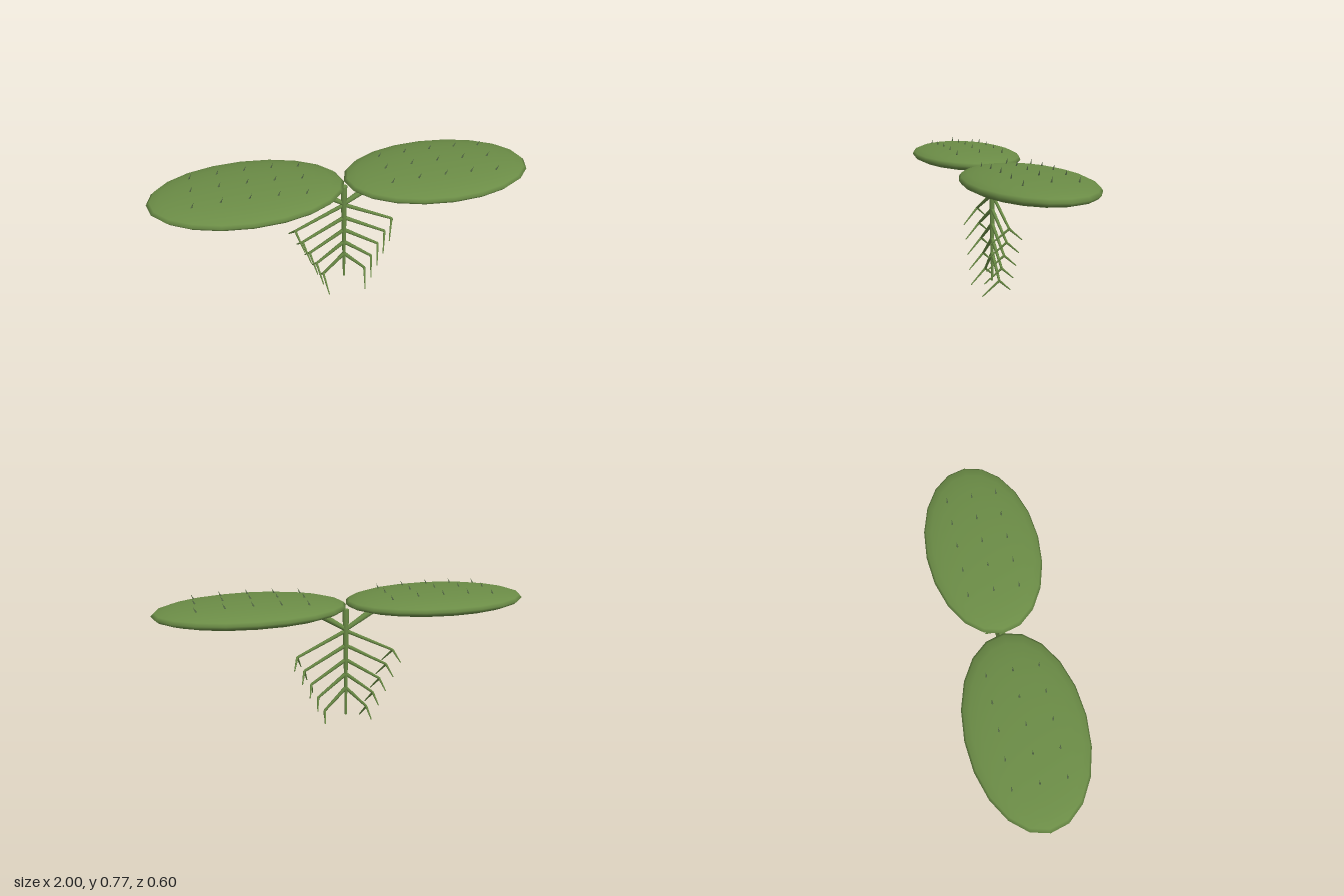
import * as THREE from 'three';

export function createModel() {
  const model = new THREE.Group();
  const green = new THREE.MeshStandardMaterial({ color: 0x6b8c46 });
  green.name = 'leaf green';
  const dark = new THREE.MeshStandardMaterial({ color: 0x566b48 });
  dark.name = 'bristle green';
  const UP = new THREE.Vector3(0, 1, 0);

  // Tapered round limb from point a to point b
  function limb(name, a, b, rA, rB, sides = 8, material = green) {
    const from = new THREE.Vector3(...a);
    const dir = new THREE.Vector3(...b).sub(from);
    const geo = new THREE.CylinderGeometry(rB, rA, dir.length(), sides);
    const mesh = new THREE.Mesh(geo, material);
    mesh.name = name;
    mesh.position.copy(from).addScaledVector(dir, 0.5);
    mesh.quaternion.setFromUnitVectors(UP, dir.normalize());
    model.add(mesh);
  }

  // Central stem
  limb('stem', [0, 0.055, 0], [0, 0.66, 0], 0.006, 0.018, 8);

  for (const s of [-1, 1]) {
    // Flat oval floating leaf
    const leaf = new THREE.Mesh(new THREE.SphereGeometry(1, 20, 12), green);
    leaf.name = s > 0 ? 'leftLeaf' : 'rightLeaf';
    leaf.scale.set(0.5, 0.06, 0.3);
    leaf.position.set(s * 0.5, 0.69, 0);
    model.add(leaf);

    // Stalk joining leaf and stem
    limb('leafStalk', [0, 0.55, 0], [s * 0.155, 0.65, 0], 0.012, 0.02);

    // Bristles on the upper leaf surface, all leaning towards +x
    for (let i = -2; i <= 2; i++) {
      for (let j = -1; j <= 1; j++) {
        const dx = i * 0.14, z = j * 0.132;
        const y = 0.69 + 0.06 * Math.sqrt(1 - (dx / 0.5) ** 2 - (z / 0.3) ** 2);
        const x = s * 0.5 + dx;
        limb('bristle', [x - 0.004, y - 0.01, z], [x + 0.014, y + 0.027, z], 0.006, 0, 5, dark);
      }
    }

    // Five root branches, each forking into a front and a back twig
    for (let i = 0; i < 5; i++) {
      const x = 0.267 - i * 0.037;
      const y = 0.412 - i * 0.0805;
      const tip = [s * x, y, 0];
      limb('rootBranch', [0, 0.542 - i * 0.082, 0], tip, 0.011, 0.007, 6);
      limb('frontTwig', tip, [s * x * 0.87, y - 0.085, 0.09], 0.007, 0.003, 5);
      limb('backTwig', tip, [s * x * 1.1, y - 0.055, -0.06], 0.007, 0.003, 5);
    }
  }
  return model;
}
